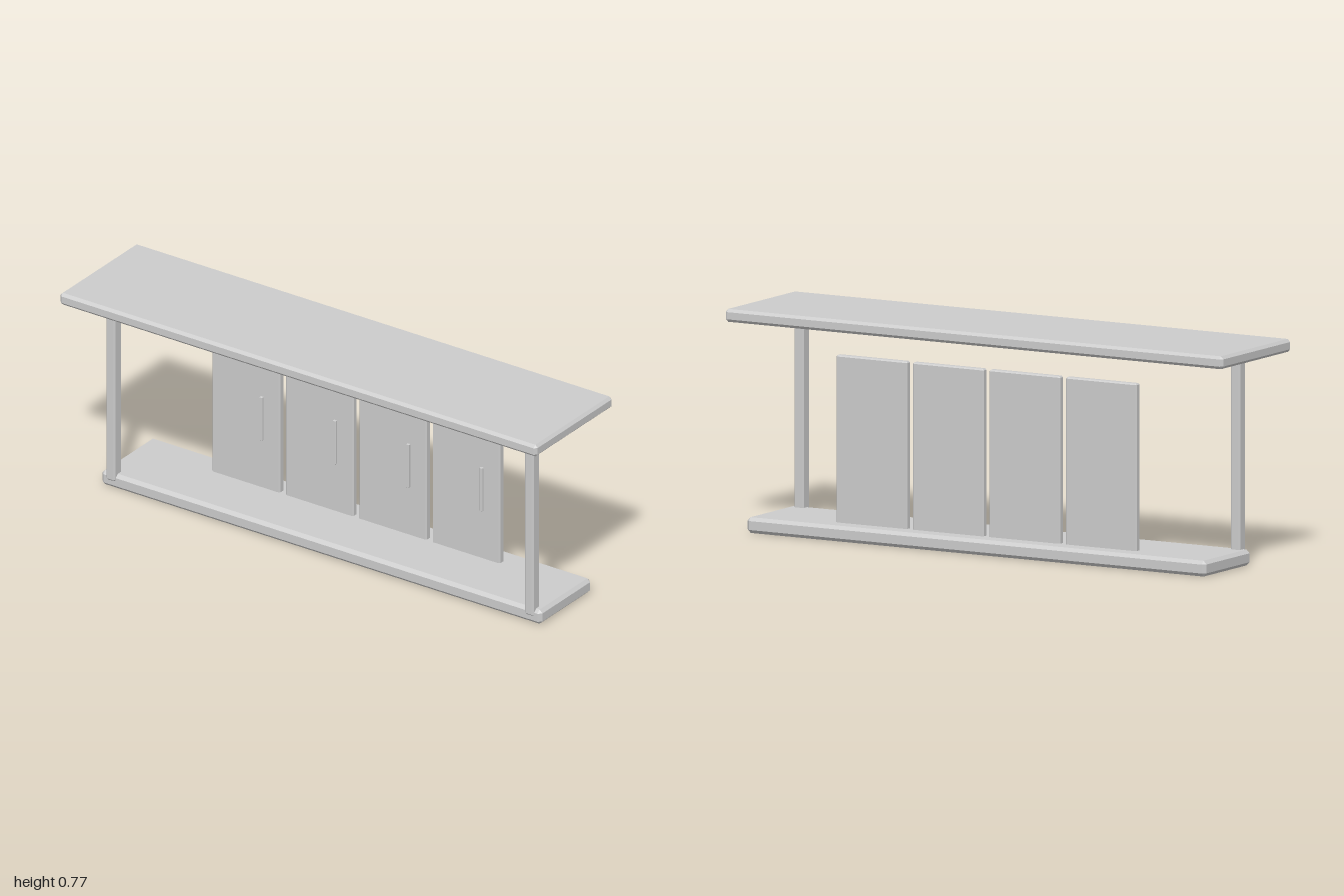
import * as THREE from 'three';
import { ConvexGeometry } from 'three/addons/geometries/ConvexGeometry.js';

const material = new THREE.MeshStandardMaterial({ color: 0xcccccc, flatShading: true });

// Box with chamfered edges, given as [min, max] on each axis
function chamferedBox(name, x, y, z, bevel) {
  const ranges = [x, y, z];
  const half = ranges.map(([a, b]) => (b - a) / 2);
  const points = [];
  for (const sx of [-1, 1]) for (const sy of [-1, 1]) for (const sz of [-1, 1]) {
    // each corner becomes three points, one on each adjoining face
    for (let face = 0; face < 3; face++) {
      const p = [sx, sy, sz].map((s, i) => s * (half[i] - (i === face ? 0 : bevel)));
      points.push(new THREE.Vector3(...p));
    }
  }
  const mesh = new THREE.Mesh(new ConvexGeometry(points), material);
  mesh.name = name;
  mesh.position.set(...ranges.map(([a, b]) => (a + b) / 2));
  return mesh;
}

export function createModel() {
  const group = new THREE.Group();
  group.name = 'sideboard';

  // Horizontal boards
  group.add(chamferedBox('topBoard', [-1, 1], [0.73, 0.775], [-0.231, 0.231], 0.01));
  group.add(chamferedBox('baseBoard', [-0.922, 0.922], [0, 0.055], [-0.216, 0.093], 0.012));

  // Front posts
  for (const side of [-1, 1]) {
    const x = side * 0.877;
    group.add(chamferedBox(side > 0 ? 'leftPost' : 'rightPost',
      [x - 0.019, x + 0.019], [0.03, 0.75], [0.057, 0.1], 0.006));
  }

  // Row of doors, each with a slim handle standing off its face
  for (let i = 0; i < 4; i++) {
    const x = -0.463 + i * 0.3075;
    group.add(chamferedBox(`door${i + 1}`,
      [x - 0.142, x + 0.142], [0.02, 0.637], [-0.148, -0.121], 0.005));
    const hx = x + 0.075;
    group.add(chamferedBox(`handle${i + 1}`,
      [hx - 0.006, hx + 0.006], [0.244, 0.412], [-0.114, -0.104], 0.0015));
  }
  return group;
}
